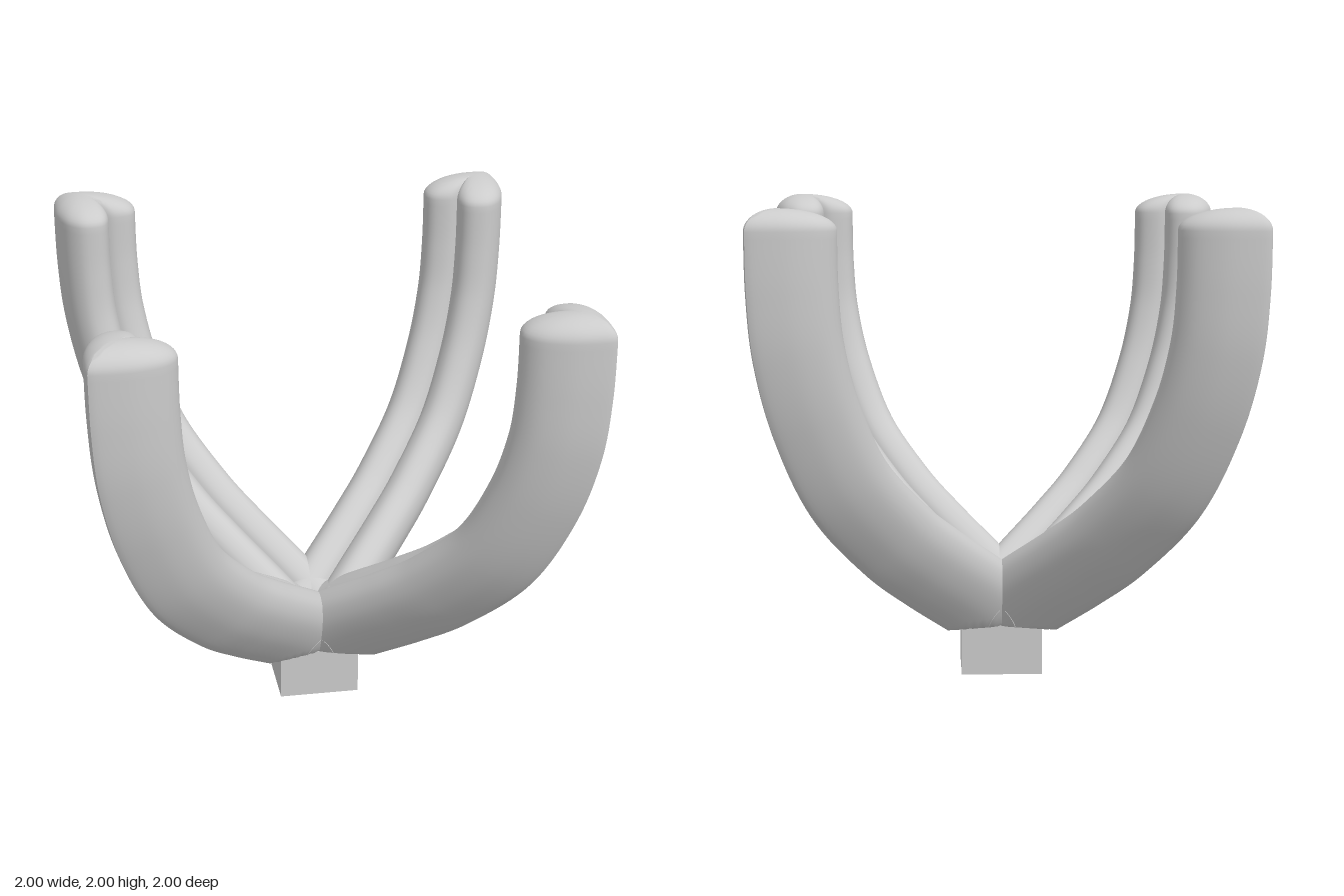
import * as THREE from 'three';
import { toCreasedNormals } from 'three/addons/utils/BufferGeometryUtils.js';

const BASE_TOP = 0.205, CAP_Y = 1.91, CAP_HEIGHT = 0.085;
const v2 = ([x, y]) => new THREE.Vector2(x, y);

// Heart outline as (outward, sideways): pointed tip outward, notch inward
function heartOutline() {
  const half = new THREE.SplineCurve([
    [0.16, 0], [0.145, 0.024], [0.10, 0.072], [0.04, 0.124], [-0.03, 0.163], [-0.09, 0.178],
    [-0.15, 0.168], [-0.19, 0.127], [-0.2, 0.085], [-0.185, 0.045], [-0.16, 0.015], [-0.13, 0],
  ].map(v2)).getPoints(33);
  const mirrored = half.slice(1, -1).reverse().map((p) => new THREE.Vector2(p.x, -p.y));
  return [...half, ...mirrored];
}

// One arm, curving outward along +x and then straight up
function armGeometry() {
  const outline = heartOutline(), n = outline.length;
  const path = new THREE.SplineCurve([
    [-0.06, 0.15], [0.09, 0.246], [0.246, 0.346], [0.48, 0.49], [0.696, 0.64], [0.95, 0.88],
    [1.116, 1.17], [1.205, 1.44], [1.235, 1.68], [1.24, CAP_Y],
  ].map(v2));
  const positions = [], index = [];
  let rings = 0;
  const addRing = (centre, tangent, scale) => {
    for (const p of outline) {
      const u = p.x * scale;
      // the underside is cut flat where it rests on the base
      positions.push(centre.x + tangent.y * u, Math.max(BASE_TOP, centre.y - tangent.x * u), p.y * scale);
    }
    rings++;
  };

  // Swept shaft
  const steps = 80, up = new THREE.Vector2(0, 1);
  for (let i = 0; i <= steps; i++) {
    const t = i / steps;
    addRing(path.getPointAt(t), i === steps ? up : path.getTangentAt(t), 1);
  }
  // Domed end
  const capSteps = 12;
  for (let i = 1; i <= capSteps; i++) {
    const a = (i / capSteps) * Math.PI / 2;
    const scale = Math.max(0.002, Math.cos(a));
    addRing(new THREE.Vector2(1.24, CAP_Y + CAP_HEIGHT * Math.sin(a)), up, scale);
  }

  for (let i = 0; i < rings - 1; i++) {
    for (let j = 0; j < n; j++) {
      const k = (j + 1) % n;
      const a = i * n + j, b = i * n + k, c = a + n, d = b + n;
      index.push(a, c, b, b, c, d);
    }
  }
  const geometry = new THREE.BufferGeometry();
  geometry.setAttribute('position', new THREE.Float32BufferAttribute(positions, 3));
  geometry.setIndex(index);
  return toCreasedNormals(geometry, 0.6);
}

export function createModel() {
  const group = new THREE.Group();
  const material = new THREE.MeshStandardMaterial({ color: 0xcccccc });

  // Square base block
  const base = new THREE.Mesh(new THREE.BoxGeometry(0.34, 0.21, 0.34), material);
  base.name = 'base';
  base.position.y = 0.105;
  group.add(base);

  // Four arms along the diagonals
  const geometry = armGeometry();
  ['backLeftArm', 'backRightArm', 'frontRightArm', 'frontLeftArm'].forEach((name, i) => {
    const arm = new THREE.Mesh(geometry, material);
    arm.name = name;
    arm.rotation.y = Math.PI / 4 + i * Math.PI / 2;
    group.add(arm);
  });
  return group;
}
